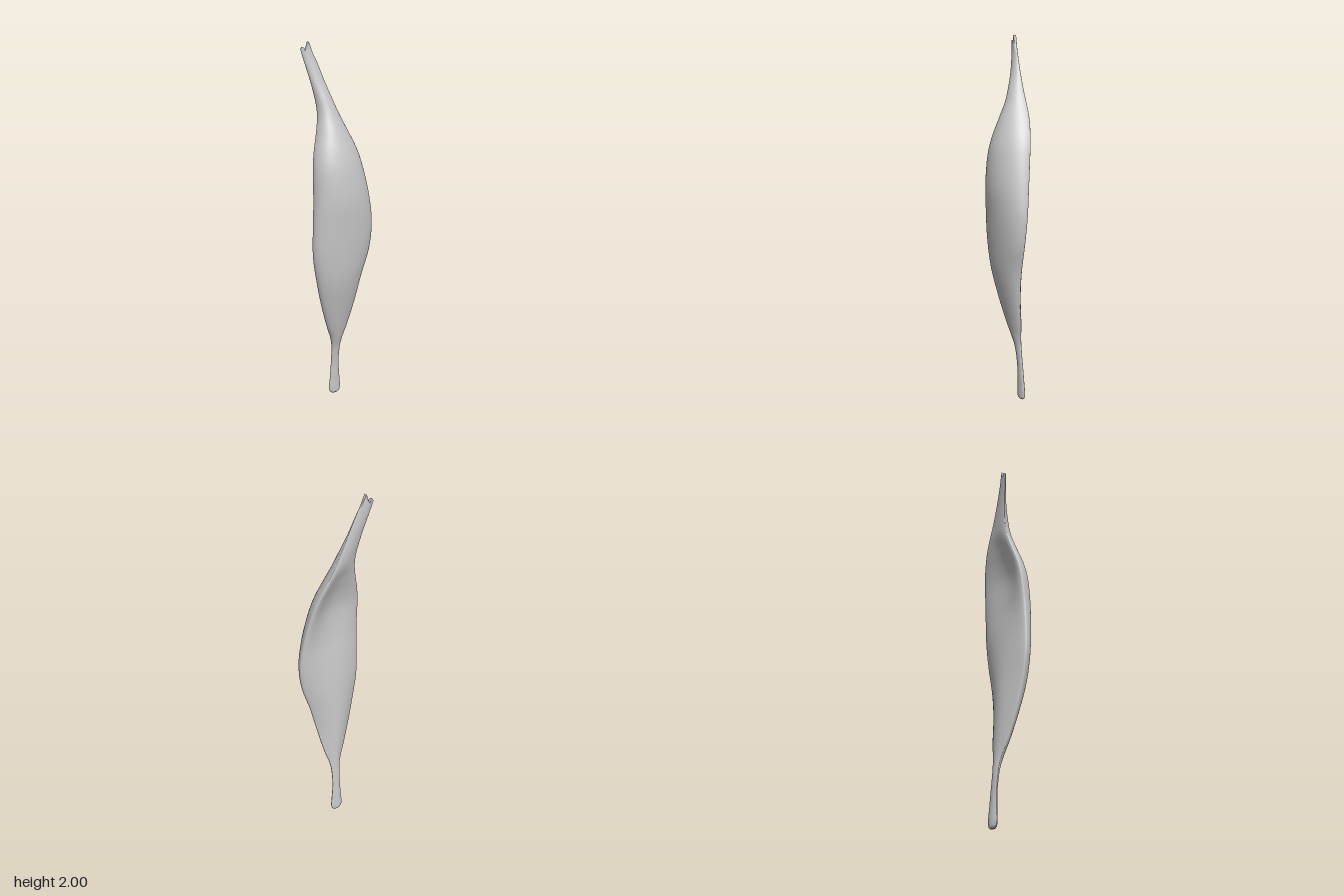
import * as THREE from 'three';

// Cross-sections from foot to tip: y, left-hand edge (x, z), right-hand edge (x, z), front z, back z
const SECTIONS = [
  [0.0, -0.018, -0.066, 0.018, -0.066, -0.058, -0.074],
  [0.012, -0.031, -0.066, 0.031, -0.066, -0.052, -0.08],
  [0.04, -0.036, -0.066, 0.036, -0.066, -0.051, -0.08],
  [0.1, -0.031, -0.064, 0.031, -0.064, -0.05, -0.076],
  [0.2, -0.026, -0.06, 0.023, -0.06, -0.045, -0.068],
  [0.3, -0.028, -0.05, 0.024, -0.05, -0.03, -0.06],
  [0.37, -0.042, -0.038, 0.035, -0.04, -0.01, -0.055],
  [0.45, -0.073, -0.022, 0.058, -0.025, 0.012, -0.053],
  [0.6, -0.12, 0.0, 0.088, 0.003, 0.05, -0.05],
  [0.75, -0.155, 0.014, 0.12, 0.016, 0.083, -0.045],
  [0.9, -0.178, 0.02, 0.163, 0.024, 0.1, -0.036],
  [1.05, -0.178, 0.022, 0.18, 0.018, 0.11, -0.022],
  [1.2, -0.171, 0.018, 0.167, 0.001, 0.115, -0.004],
  [1.35, -0.165, 0.005, 0.14, -0.024, 0.1, 0.002],
  [1.45, -0.15, -0.012, 0.113, -0.045, 0.076, -0.014],
  [1.55, -0.122, -0.035, 0.069, -0.067, 0.038, -0.046],
  [1.63, -0.105, -0.054, 0.029, -0.076, 0.004, -0.074],
  [1.7, -0.106, -0.068, -0.003, -0.078, -0.021, -0.086],
  [1.8, -0.125, -0.084, -0.045, -0.083, -0.055, -0.096],
  [1.9, -0.151, -0.1, -0.084, -0.09, -0.08, -0.106],
  [1.96, -0.167, -0.108, -0.11, -0.097, -0.093, -0.111],
];

// Uniform splines share the same parameter, so the edges stay level with each other
const spline = (pick) =>
  new THREE.CatmullRomCurve3(SECTIONS.map((s) => new THREE.Vector3(...pick(s))), false, 'catmullrom', 0.5);

// Height of the forked tip across its width, u from -1 to 1
const FORK = [[-1, 0], [-0.75, 0.013], [-0.5, 0.012], [-0.2, -0.004], [0.05, 0.008], [0.35, 0.04], [0.6, 0.025], [1, -0.01]];
function forkHeight(u) {
  let i = 0;
  while (i < FORK.length - 2 && u > FORK[i + 1][0]) i++;
  const [a, b] = [FORK[i], FORK[i + 1]];
  return THREE.MathUtils.lerp(a[1], b[1], (u - a[0]) / (b[0] - a[0]));
}

function bellyGeometry(rows, sides) {
  const left = spline((s) => [s[1], s[0], s[2]]);
  const right = spline((s) => [s[3], s[0], s[4]]);
  const depth = spline((s) => [s[5], s[0], s[6]]);
  const positions = [];
  const index = [];

  for (let i = 0; i <= rows; i++) {
    const v = i / rows;
    const l = left.getPoint(v), r = right.getPoint(v), d = depth.getPoint(v);
    const half = (r.x - l.x) / 2;
    const mid = (l.z + r.z) / 2;
    const round = half * 0.22;
    const hollow = d.z - mid + round;
    for (let j = 0; j < sides; j++) {
      const t = (j / sides) * Math.PI * 2;
      const u = Math.cos(t), s = Math.abs(Math.sin(t));
      const chord = mid + (u * (r.z - l.z)) / 2;
      // full convex front; flatter back that may dip inward behind rounded edges
      const bulge = Math.sin(t) >= 0 ? (d.x - mid) * s : -round * s + hollow * s ** 3;
      // only the last rows follow the fork
      const rise = Math.max(0, (l.y - 1.9) / 0.06) * forkHeight(u);
      positions.push((l.x + r.x) / 2 + half * u, l.y + rise, chord + bulge);
    }
  }

  // side wall
  for (let i = 0; i < rows; i++) {
    for (let j = 0; j < sides; j++) {
      const k = (j + 1) % sides;
      const a = i * sides + j, b = a + sides, c = i * sides + k, e = c + sides;
      index.push(a, b, c, b, e, c);
    }
  }
  // end caps, bridged from front to back
  for (let j = 0; j < sides / 2; j++) {
    for (const base of [0, rows * sides]) {
      const f0 = base + j, f1 = base + j + 1;
      const b0 = base + ((sides - j) % sides), b1 = base + sides - j - 1;
      const tris = [[b1, f1, b0], [f1, f0, b0]];
      for (const t of tris) {
        if (new Set(t).size < 3) continue;
        index.push(...(base ? t : [t[0], t[2], t[1]]));
      }
    }
  }

  const geometry = new THREE.BufferGeometry();
  geometry.setAttribute('position', new THREE.Float32BufferAttribute(positions, 3));
  geometry.setIndex(index);
  geometry.computeVertexNormals();
  return geometry;
}

export function createModel() {
  const group = new THREE.Group();
  group.name = 'muscle';
  const grey = new THREE.MeshStandardMaterial({ color: 0xc8c8c8 });
  grey.name = 'light grey';

  // belly with the tendons at both ends, one continuous skin
  const belly = new THREE.Mesh(bellyGeometry(140, 64), grey);
  belly.name = 'muscleBellyAndTendons';
  group.add(belly);
  return group;
}
